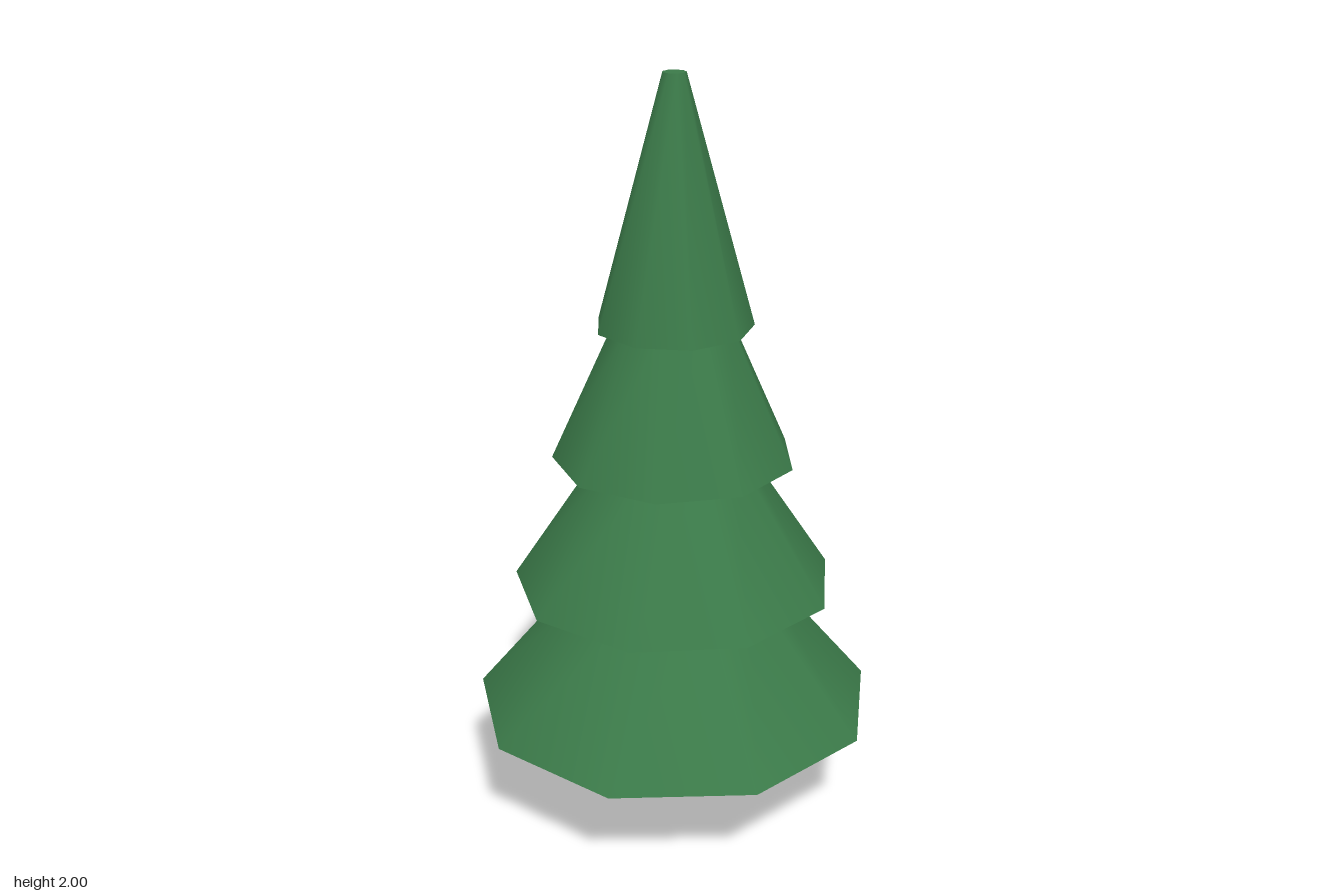
import * as THREE from 'three';

const SIDES = 9;

export function createModel() {
  const tree = new THREE.Group();
  tree.name = 'pineTree';

  const needles = new THREE.MeshStandardMaterial({ color: 0x3b7a49 });
  needles.name = 'needleGreen';
  const bark = new THREE.MeshStandardMaterial({ color: 0x785236 });
  bark.name = 'barkBrown';

  // A tapered nine-sided section standing on height y0
  function section(name, y0, y1, rBottom, rTop, turn, material) {
    const geometry = new THREE.CylinderGeometry(
      rTop, rBottom, y1 - y0, SIDES, 1, false, THREE.MathUtils.degToRad(turn));
    geometry.translate(0.007, (y0 + y1) / 2, 0.005);
    const mesh = new THREE.Mesh(geometry, material);
    mesh.name = name;
    tree.add(mesh);
  }

  // Trunk, reaching a little way into the lowest branches
  section('trunk', 0, 0.32, 0.068, 0.055, 25, bark);

  // Branch tiers: base height, base radius, height and radius where the
  // next tier covers it, and turn in degrees
  const tiers = [
    ['bottomBranches', 0.288, 0.547, 0.645, 0.252, 25.1],
    ['lowerBranches', 0.645, 0.433, 1.003, 0.198, 27.8],
    ['upperBranches', 1.003, 0.321, 1.361, 0.159, 34.5],
    ['topBranches', 1.361, 0.206, 2, 0.03, 15],
  ];
  tiers.forEach(([name, y0, r0, y1, r1, turn], i) => {
    // Continue each covered tier slightly into the one above, on the same slope
    const overlap = i < tiers.length - 1 ? 0.04 : 0;
    const slope = (r1 - r0) / (y1 - y0);
    section(name, y0, y1 + overlap, r0, r1 + slope * overlap, turn, needles);
  });

  return tree;
}
